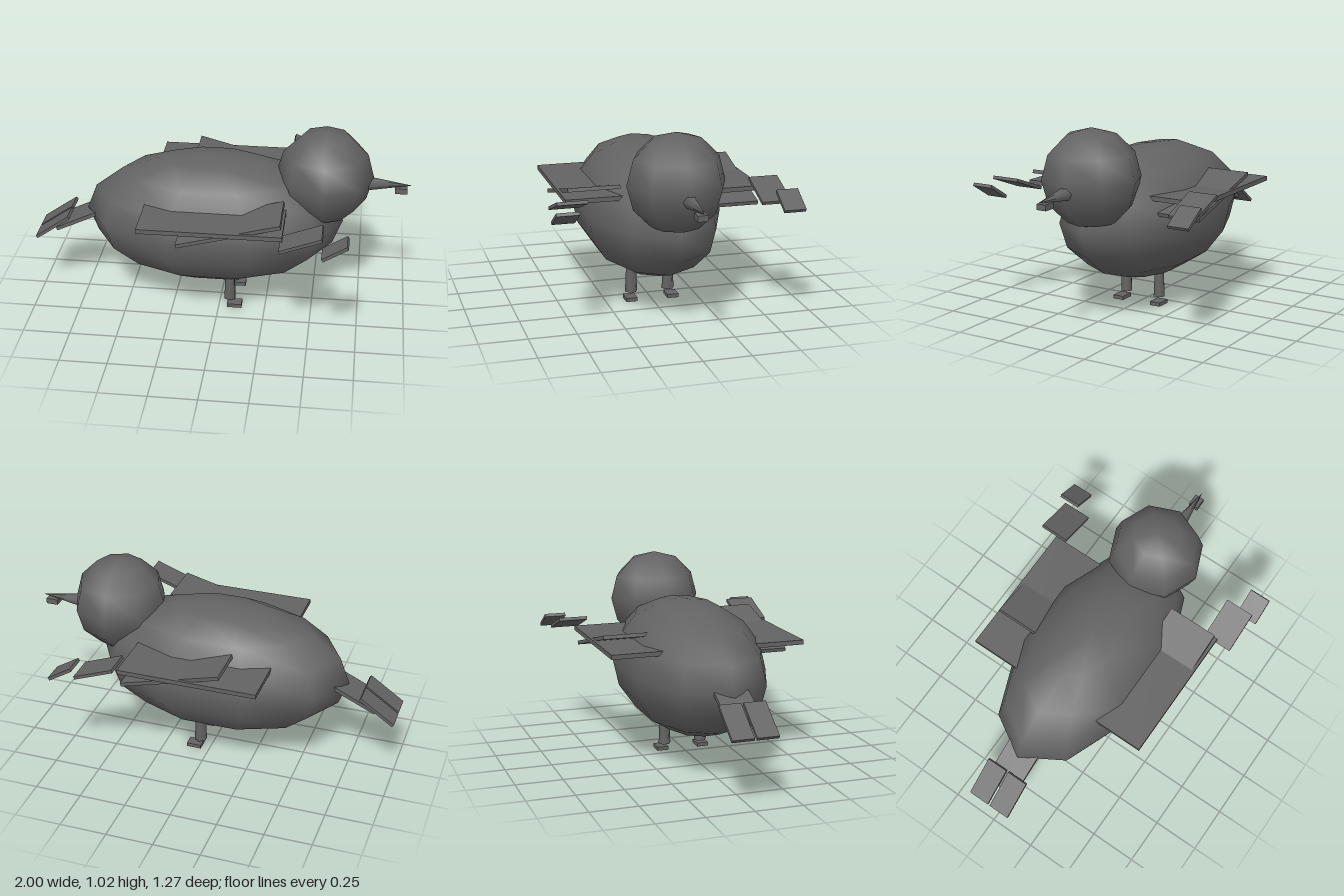
import * as THREE from 'three';

export function createModel() {
  const bird = new THREE.Group();
  bird.name = 'bird';
  const material = new THREE.MeshStandardMaterial({ color: 0x636363 });

  const add = (name, geometry, x, y, z, tilt = 0) => {
    const mesh = new THREE.Mesh(geometry, material);
    mesh.name = name;
    mesh.position.set(x, y, z);
    mesh.rotation.z = tilt;
    bird.add(mesh);
    return mesh;
  };
  const slab = (length, thickness, width) => new THREE.BoxGeometry(length, thickness, width);

  // Body and head, facing +x
  add('body', new THREE.SphereGeometry(1, 10, 8), -0.04, 0.497, 0).scale.set(0.69, 0.355, 0.375);
  add('head', new THREE.SphereGeometry(0.255, 8, 6), 0.545, 0.764, 0);

  // Beak: six-sided cone above a small lower block
  add('upperBeak', new THREE.ConeGeometry(0.04, 0.25, 6), 0.875, 0.727, 0, -Math.PI / 2);
  add('lowerBeak', slab(0.065, 0.03, 0.052), 0.945, 0.701, 0);

  for (const side of [1, -1]) {
    const label = side > 0 ? 'near' : 'far';

    // Wing slabs and loose tip feathers, tilted opposite ways on the two sides
    add(label + 'Wing', slab(0.735, 0.024, 0.33), -0.007, 0.65, side * 0.355);
    add(label + 'WingFeather', slab(0.545, 0.02, 0.27), 0.087, 0.638, side * 0.37, side * 0.26);
    add(label + 'InnerTipFeather', slab(0.224, 0.017, 0.155), 0.457, 0.664, side * 0.527, side * 0.36);
    add(label + 'OuterTipFeather', slab(0.145, 0.017, 0.115), 0.627, 0.649, side * 0.577, side * 0.55);

    // Tail feathers
    add(label + 'TailFeather', slab(0.22, 0.017, 0.115), -0.907, 0.419, side * 0.0635, 0.61);

    // Legs and feet
    add(label + 'Leg', new THREE.CylinderGeometry(0.026, 0.034, 0.18, 6), 0.058, 0.128, side * 0.103);
    add(label + 'Foot', slab(0.08, 0.02, 0.062), 0.085, 0.01, side * 0.115);
  }

  // Tail base, running into the body
  add('tailBase', slab(0.27, 0.02, 0.18), -0.77, 0.453, 0, 0.44);

  return bird;
}
